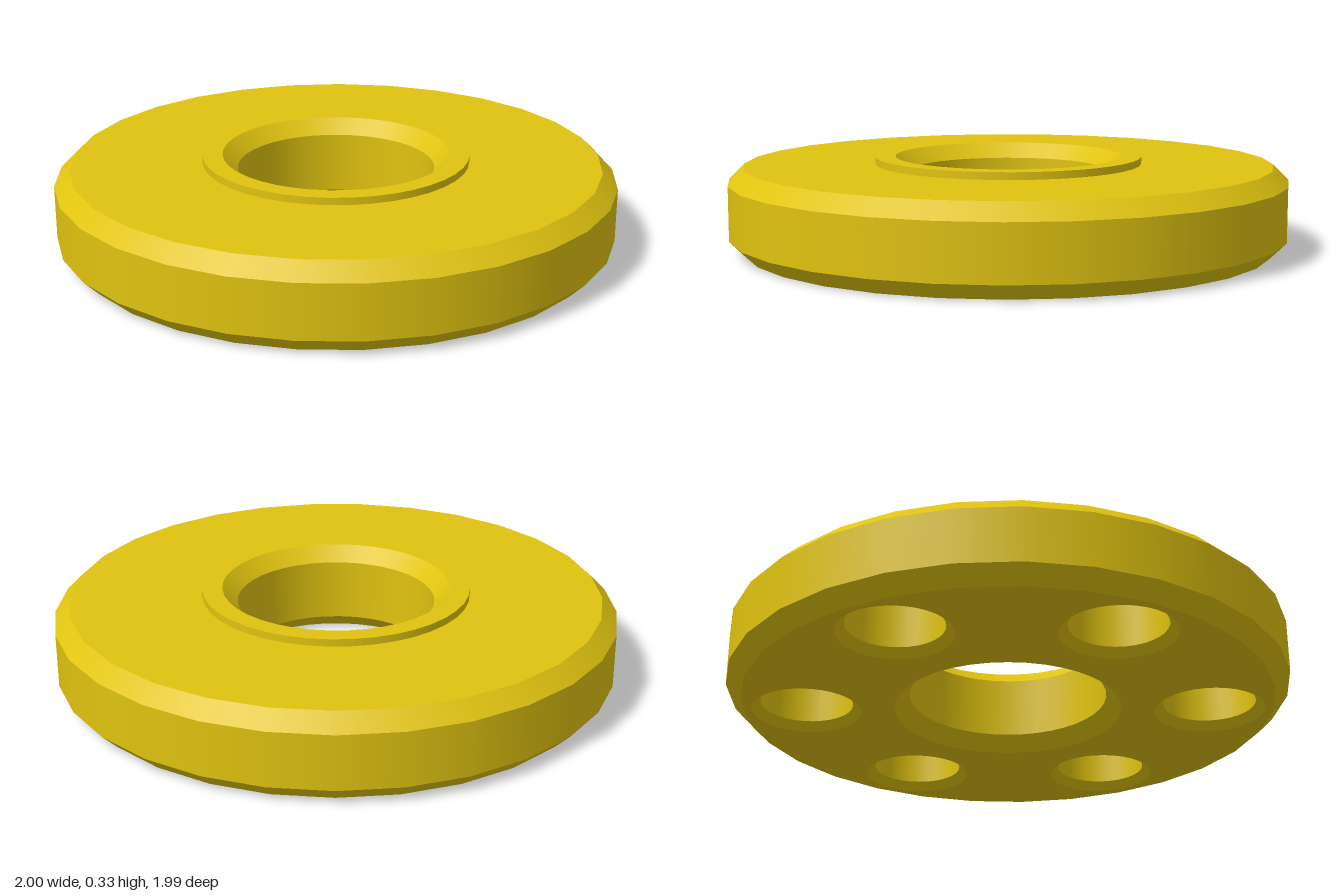
import * as THREE from 'three';
import { mergeGeometries } from 'three/addons/utils/BufferGeometryUtils.js';

const RIM_SIDES = 29, HUB_SIDES = 40, HOLE_SIDES = 32;

// Band of revolution for each profile step, so edges between steps stay sharp
function bands(profile, sides) {
  const parts = [];
  for (let i = 0; i < profile.length - 1; i++) {
    const pts = [profile[i], profile[i + 1]].map(([r, y]) => new THREE.Vector2(r, y));
    parts.push(new THREE.LatheGeometry(pts, sides));
  }
  return mergeGeometries(parts);
}

// Circle as a polygon; dir flips its second axis to match the facing side
function circle(radius, sides, dir, cx = 0, cz = 0) {
  const pts = [];
  for (let i = 0; i < sides; i++) {
    const a = (i / sides) * Math.PI * 2;
    pts.push(new THREE.Vector2(cx + radius * Math.sin(a), dir * (cz + radius * Math.cos(a))));
  }
  return pts;
}

// Flat horizontal face with holes, facing up or down
function face(radius, sides, holes, y, up) {
  const dir = up ? -1 : 1;
  const shape = new THREE.Shape(circle(radius, sides, dir));
  for (const h of holes) shape.holes.push(new THREE.Path(circle(h.r, h.sides, dir, h.x, h.z)));
  return new THREE.ShapeGeometry(shape).rotateX(up ? -Math.PI / 2 : Math.PI / 2).translate(0, y, 0);
}

export function createModel() {
  const group = new THREE.Group();
  const yellow = new THREE.MeshStandardMaterial({ color: 0xe0c310 });
  yellow.name = 'yellow';
  const add = (name, geometry) => {
    const mesh = new THREE.Mesh(geometry, yellow);
    mesh.name = name;
    group.add(mesh);
    return mesh;
  };

  // Six blind holes on a circle around the axis
  const pockets = [];
  for (let i = 0; i < 6; i++) {
    const a = (i * Math.PI) / 3;
    pockets.push({ r: 0.195, sides: HOLE_SIDES, x: 0.72 * Math.sin(a), z: 0.72 * Math.cos(a) });
  }

  // Chamfered outer rim
  add('rim', bands([[0.945, 0], [1, 0.055], [1, 0.247], [0.945, 0.302]], RIM_SIDES));

  // Flat faces of the disc
  add('topFace', face(0.945, RIM_SIDES, [{ r: 0.477, sides: HUB_SIDES, x: 0, z: 0 }], 0.302, true));
  add('bottomFace', face(0.945, RIM_SIDES,
    [{ r: 0.405, sides: HUB_SIDES, x: 0, z: 0 }, ...pockets], 0, false));

  // Raised collar and the chamfered centre bore
  add('collar', bands([[0.477, 0.302], [0.477, 0.328], [0.405, 0.328]], HUB_SIDES));
  add('bore', bands([[0.405, 0.328], [0.352, 0.275], [0.352, 0.053], [0.405, 0]], HUB_SIDES));

  // Countersunk pockets under the disc
  const pocket = bands([[0, 0.2], [0.165, 0.2], [0.165, 0.03], [0.195, 0]].slice(1), HOLE_SIDES);
  const pocketEnd = face(0.165, HOLE_SIDES, [], 0.2, false);
  pockets.forEach(({ x, z }) => {
    add('pocketWall', pocket).position.set(x, 0, z);
    add('pocketEnd', pocketEnd).position.set(x, 0, z);
  });

  return group;
}
